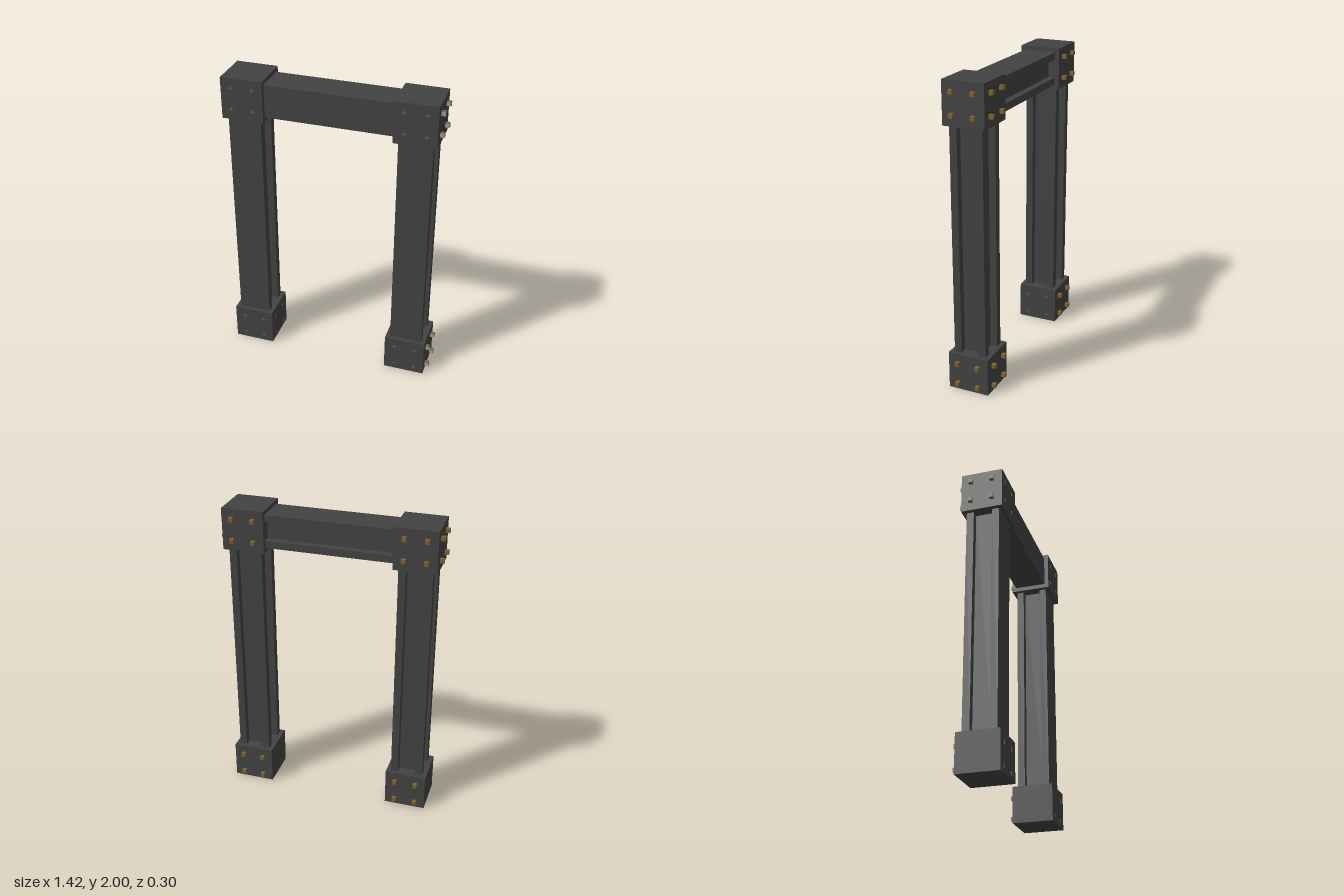
import * as THREE from 'three';

const bodyMat = new THREE.MeshStandardMaterial({ color: 0x424242 });
bodyMat.name = 'dark grey';
const boltMat = new THREE.MeshStandardMaterial({ color: 0x7d6230 });
boltMat.name = 'dull brass';
const steelMat = new THREE.MeshStandardMaterial({ color: 0x9a9a9a });
steelMat.name = 'light steel';

const POST_X = 0.547, MID_Z = 0.015, HALF = 0.1075, CUBE = 0.272;
const BOLT = 0.027, PITCH = 0.07;

// Square section with a groove in each listed side (0 bottom, 1 right, 2 top, 3 left)
function grooved(sides) {
  const h = HALF, s = 0.06, d = 0.046, pts = [];
  for (let k = 0; k < 4; k++) {
    const edge = [[-h, -h]];
    if (sides.includes(k)) edge.push([-s, -h], [-s, d - h], [s, d - h], [s, -h]);
    for (const [x, y] of edge) {
      pts.push(new THREE.Vector2(x, y).rotateAround(new THREE.Vector2(), k * Math.PI / 2));
    }
  }
  return new THREE.Shape(pts);
}

function box(parent, name, mat, size, pos) {
  const mesh = new THREE.Mesh(new THREE.BoxGeometry(...size), mat);
  mesh.name = name;
  mesh.position.set(...pos);
  parent.add(mesh);
}

// Four corners of the bolt pattern around a face centre
function pattern(fn) {
  for (const u of [-PITCH, PITCH]) for (const v of [-PITCH, PITCH]) fn(u, v);
}

export function createModel() {
  const root = new THREE.Group();
  root.name = 'portalFrame';

  // Upright posts: plain front, grooves on the back and both sides
  for (const side of [-1, 1]) {
    const geo = new THREE.ExtrudeGeometry(grooved([1, 2, 3]), { depth: 1.5, bevelEnabled: false });
    geo.rotateX(-Math.PI / 2);
    const post = new THREE.Mesh(geo, bodyMat);
    post.name = side > 0 ? 'leftPost' : 'rightPost';
    post.position.set(side * POST_X, 0.24, MID_Z);
    root.add(post);
  }

  // Cross beam: groove on the back only
  const beamGeo = new THREE.ExtrudeGeometry(grooved([1]), { depth: 0.84, bevelEnabled: false });
  beamGeo.rotateY(Math.PI / 2);
  const beam = new THREE.Mesh(beamGeo, bodyMat);
  beam.name = 'crossBeam';
  beam.position.set(-0.42, 1.865, MID_Z);
  root.add(beam);

  // Corner blocks with their bolts
  for (const side of [-1, 1]) {
    for (const top of [false, true]) {
      const corner = new THREE.Group();
      corner.name = (top ? 'top' : 'bottom') + (side > 0 ? 'Left' : 'Right') + 'Corner';
      const height = top ? CUBE : 0.248;
      const boltY = top ? 1.866 : 0.114;
      const cx = side * POST_X, h = CUBE / 2;
      box(corner, 'block', bodyMat, [CUBE, height, CUBE], [cx, top ? 2 - height / 2 : height / 2, MID_Z]);

      pattern((u, v) => {
        // Bolt heads on the back, crossed bolt tips on the front
        box(corner, 'backBolt', boltMat, [BOLT, BOLT, BOLT], [cx + u, boltY + v, MID_Z - h - BOLT / 2]);
        for (const bar of [[0.026, 0.005], [0.005, 0.026]]) {
          box(corner, 'frontBoltTip', boltMat, [...bar, 0.004], [cx + u, boltY + v, MID_Z + h]);
        }
        if (top || side > 0) {
          // Bolt heads on the outer side, with a steel front face
          const mats = [boltMat, boltMat, boltMat, boltMat, steelMat, boltMat];
          box(corner, 'sideBolt', mats, [BOLT, BOLT, BOLT],
            [cx + side * (h + BOLT / 2), boltY + v, MID_Z + u]);
        } else {
          // Crossed bolt tips on the inner side
          for (const bar of [[0.026, 0.005], [0.005, 0.026]]) {
            box(corner, 'innerBoltTip', boltMat, [0.004, ...bar], [cx + h, boltY + v, MID_Z + u]);
          }
        }
      });
      root.add(corner);
    }
  }
  return root;
}
